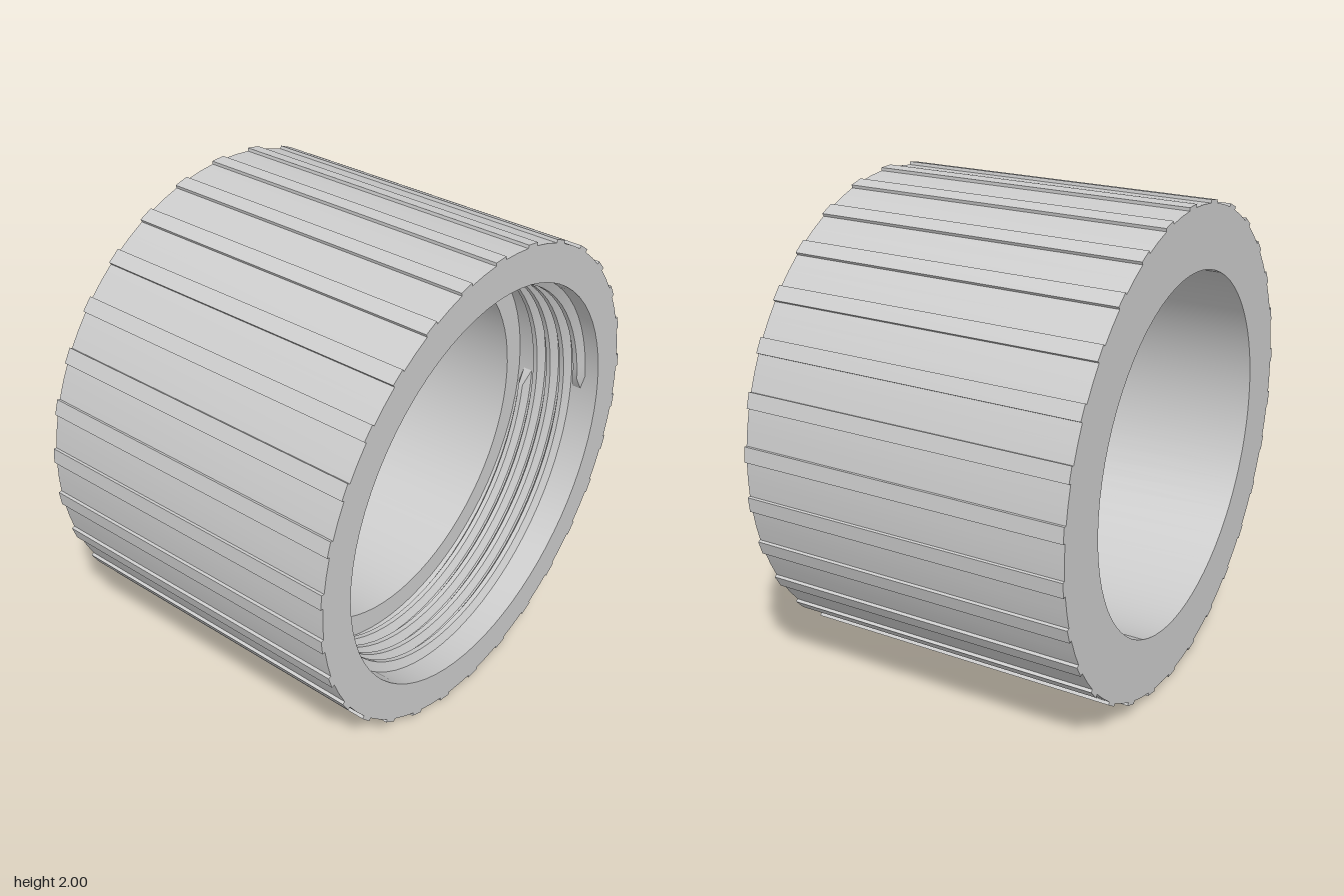
import * as THREE from 'three';
import { toCreasedNormals } from 'three/addons/utils/BufferGeometryUtils.js';

const HALF = 0.675;                 // half length along z
const BORE = 0.735, SOCKET = 0.835; // rear bore and front socket radii
const LEDGE = 0.285;                // z of the socket floor
const TEETH = 30;
const DEG = Math.PI / 180;

// Outer outline: a round body with narrow raised grip ribs
function outlinePoints() {
  const pts = [];
  const add = (r, deg) => pts.push(new THREE.Vector2(r * Math.cos(deg * DEG), r * Math.sin(deg * DEG)));
  for (let i = 0; i < TEETH; i++) {
    const c = 6 + (i * 360) / TEETH;
    add(0.987, c - 6);
    add(0.987, c - 1.8);
    add(1, c - 1.8);
    add(1, c + 1.8);
    add(0.987, c + 1.8);
  }
  return pts;
}

// Ribbed wall joining the front and back outlines
function wallGeometry(pts) {
  const pos = [];
  pts.forEach((a, i) => {
    const b = pts[(i + 1) % pts.length];
    pos.push(a.x, a.y, -HALF, b.x, b.y, -HALF, b.x, b.y, HALF);
    pos.push(a.x, a.y, -HALF, b.x, b.y, HALF, a.x, a.y, HALF);
  });
  const geo = new THREE.BufferGeometry();
  geo.setAttribute('position', new THREE.Float32BufferAttribute(pos, 3));
  return toCreasedNormals(geo, 0.35);
}

// Flat ring between the ribbed outline and a round hole
function endGeometry(pts, radius) {
  const shape = new THREE.Shape(pts);
  shape.holes.push(new THREE.Path().absarc(0, 0, radius, 0, Math.PI * 2, true));
  return new THREE.ShapeGeometry(shape, 36);
}

// Helical ridge with a trapezoid section, fading out at both ends
function threadGeometry(turns, pitch, zStart) {
  const section = [[SOCKET + 0.002, 0.03], [0.8, 0.01], [0.8, -0.01], [SOCKET + 0.002, -0.03]];
  const segs = turns * 72;
  const geo = new THREE.PlaneGeometry(1, 1, segs, section.length - 1);
  const p = geo.attributes.position;
  for (let i = 0; i < p.count; i++) {
    const k = i % (segs + 1);
    const [r, dz] = section[Math.floor(i / (segs + 1))];
    const t = k / segs;
    const angle = t * turns * Math.PI * 2;
    const radius = k === 0 || k === segs ? SOCKET + 0.002 : r;
    p.setXYZ(i, radius * Math.cos(angle), radius * Math.sin(angle), zStart - t * turns * pitch + dz);
  }
  return toCreasedNormals(geo, 0.4);
}

export function createModel() {
  const model = new THREE.Group();
  model.name = 'threadedCollar';
  const grey = new THREE.MeshStandardMaterial({ color: 0xcccccc });
  const greyDouble = new THREE.MeshStandardMaterial({ color: 0xcccccc, side: THREE.DoubleSide });
  const add = (name, geo, mat = grey) => {
    const mesh = new THREE.Mesh(geo, mat);
    mesh.name = name;
    mesh.position.y = 1;
    model.add(mesh);
    return mesh;
  };

  const pts = outlinePoints();
  add('ribbedOuterWall', wallGeometry(pts));

  // End faces
  add('frontFace', endGeometry(pts, SOCKET).translate(0, 0, HALF));
  add('backFace', endGeometry(pts, BORE).translate(0, 0, HALF).rotateY(Math.PI));

  // Inside: front socket, ledge and rear bore
  const profile = [[SOCKET, HALF], [SOCKET, LEDGE], [BORE, LEDGE], [BORE, -HALF]]
    .map(([r, z]) => new THREE.Vector2(r, z));
  const inner = new THREE.LatheGeometry(profile, 72).rotateX(Math.PI / 2);
  add('socketAndBore', toCreasedNormals(inner, 0.5));

  // Screw thread in the socket
  add('screwThread', threadGeometry(4, 0.066, 0.585), greyDouble);

  return model;
}
